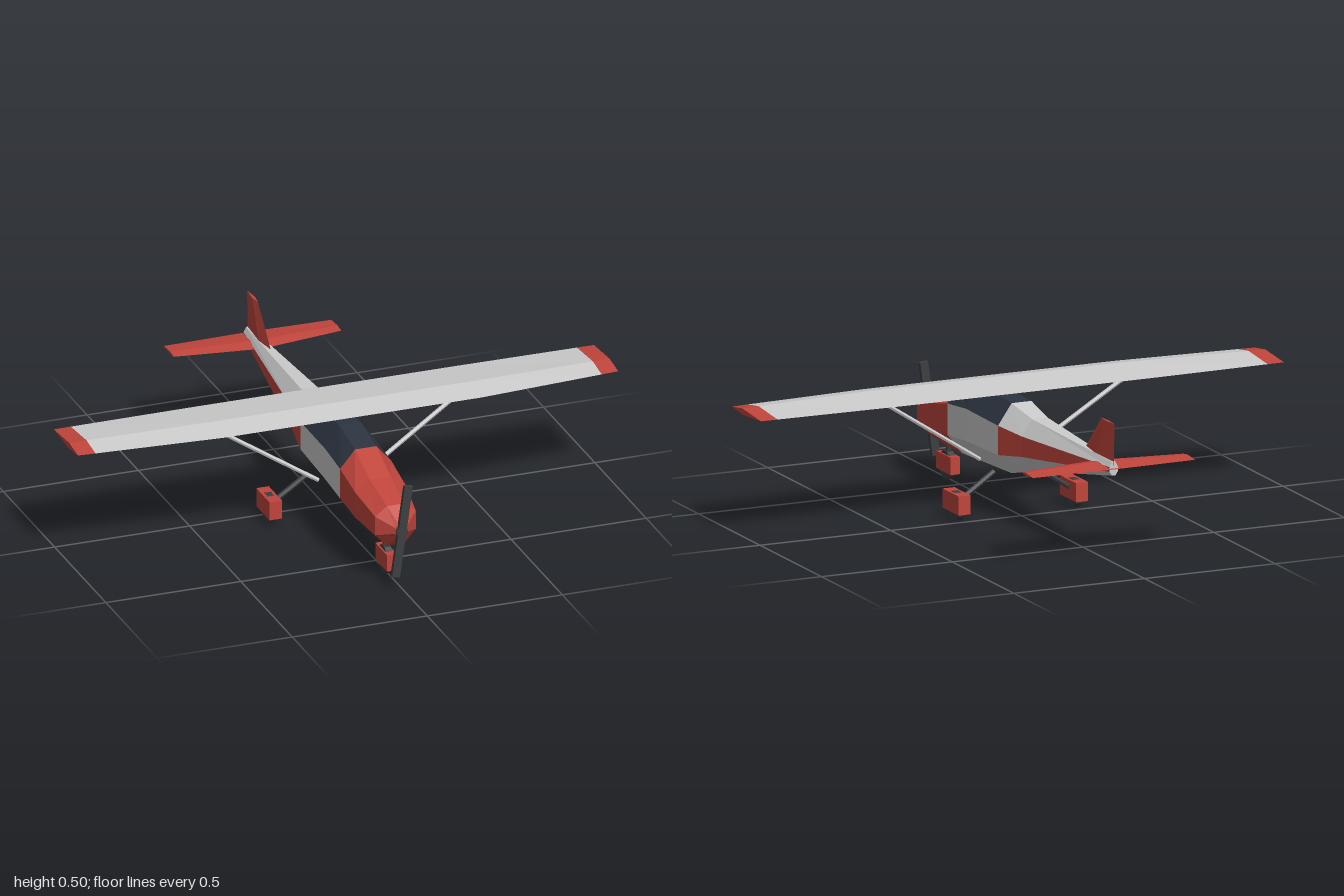
import * as THREE from 'three';

const paint = (color) => new THREE.MeshStandardMaterial({ color, flatShading: true });
const grey = paint(0xcccccc), red = paint(0xc0453c), glass = paint(0x2c3440), dark = paint(0x3c3e40);
const V = (x, y, z) => new THREE.Vector3(x, y, z);

// Skin closed rings, wound counter-clockwise seen from the far end; optional list of panels
function loft(name, rings, material, panels = null, capStart = true, capEnd = true) {
  const pos = [], n = rings[0].length;
  const tri = (...pts) => pts.forEach((p) => pos.push(p.x, p.y, p.z));
  for (let r = 0; r < rings.length - 1; r++) {
    const a = rings[r], b = rings[r + 1];
    for (let i = 0; i < n; i++) {
      if (panels && !panels.includes(i)) continue;
      const j = (i + 1) % n;
      tri(a[i], a[j], b[j]);
      tri(a[i], b[j], b[i]);
    }
  }
  const first = rings[0], last = rings[rings.length - 1];
  for (let i = 1; i < n - 1; i++) {
    if (capStart) tri(first[0], first[i + 1], first[i]);
    if (capEnd) tri(last[0], last[i], last[i + 1]);
  }
  const geo = new THREE.BufferGeometry();
  geo.setAttribute('position', new THREE.Float32BufferAttribute(pos, 3));
  geo.computeVertexNormals();
  const mesh = new THREE.Mesh(geo, material);
  mesh.name = name;
  return mesh;
}

function box(name, w, h, d, at, material) {
  const mesh = new THREE.Mesh(new THREE.BoxGeometry(w, h, d), material);
  mesh.position.copy(at);
  mesh.name = name;
  return mesh;
}

function rod(name, a, b, radius, material) {
  const dir = b.clone().sub(a);
  const mesh = new THREE.Mesh(new THREE.CylinderGeometry(radius, radius, dir.length(), 6), material);
  mesh.position.copy(a).add(b).multiplyScalar(0.5);
  mesh.quaternion.setFromUnitVectors(V(0, 1, 0), dir.normalize());
  mesh.name = name;
  return mesh;
}

// Diamond aerofoil section across x
const foil = (x, front, back, y, top, bottom) => {
  const crest = front - (front - back) * 0.36;
  return [V(x, top, crest), V(x, y, front), V(x, bottom, crest), V(x, y, back)];
};

// Wheel, fairing and leg
function landingGear(name, x, z, fairing, legTop, legBottom) {
  const gear = new THREE.Group();
  gear.name = name;
  const wheel = new THREE.Mesh(new THREE.CylinderGeometry(0.052, 0.052, 0.024, 10), dark);
  wheel.rotation.z = Math.PI / 2;
  wheel.position.set(x, 0.054, z);
  wheel.name = 'wheel';
  const [w, h, d, y] = fairing;
  gear.add(wheel, box('wheelFairing', w, h, d, V(x, y, z), red), rod('gearLeg', legTop, legBottom, 0.01, dark));
  return gear;
}

export function createModel() {
  const model = new THREE.Group();
  model.name = 'lightAircraft';

  // Fuselage stations: z, half width, bottom, lower edge, upper edge, top
  const stations = [
    [-0.75, 0.016, 0.316, 0.33, 0.347, 0.365],
    [-0.15, 0.07, 0.2, 0.255, 0.328, 0.385],
    [0, 0.09, 0.16, 0.23, 0.335, 0.41],
    [0.25, 0.095, 0.15, 0.225, 0.34, 0.416],
    [0.4, 0.095, 0.142, 0.213, 0.325, 0.39],
    [0.54, 0.093, 0.141, 0.2, 0.295, 0.335],
    [0.69, 0.075, 0.146, 0.192, 0.262, 0.296],
    [0.745, 0.022, 0.2, 0.212, 0.234, 0.246],
  ].map(([z, w, bottom, low, up, top]) => {
    const t = w * 0.42;
    return [V(w, low, z), V(w, up, z), V(t, top, z), V(-t, top, z),
      V(-w, up, z), V(-w, low, z), V(-t, bottom, z), V(t, bottom, z)];
  });
  const tail = stations.slice(0, 3), cabin = stations.slice(2, 5), nose = stations.slice(4);
  model.add(
    loft('tailBoom', tail, grey, [1, 2, 3, 5, 6, 7], true, false),
    loft('tailStripe', tail, red, [0, 4], false, false),
    loft('cabinWindows', cabin, glass, [1, 2, 3], false, false),
    loft('cabinBody', cabin, grey, [0, 4, 5, 6, 7], false, false),
    loft('engineCowling', nose, red, null, false, true),
  );

  // Propeller
  const propeller = new THREE.Group();
  propeller.name = 'propeller';
  const hub = new THREE.Mesh(new THREE.CylinderGeometry(0.022, 0.022, 0.014, 8), dark);
  hub.rotation.x = Math.PI / 2;
  hub.name = 'propellerHub';
  propeller.add(box('propellerBlades', 0.03, 0.34, 0.016, V(0, 0, 0), dark), hub);
  propeller.position.set(0, 0.22, 0.75);
  propeller.rotation.z = -0.14;
  model.add(propeller);

  // Wing with coloured tips
  const section = {
    tip: (s) => foil(s, 0.228, -0.008, 0.448, 0.46, 0.438),
    cap: (s) => foil(s * 0.937, 0.233, -0.009, 0.448, 0.461, 0.437),
    mid: (s) => foil(s * 0.48, 0.265, -0.015, 0.447, 0.466, 0.431),
  };
  model.add(
    loft('wing', [section.cap(-1), section.mid(-1), section.mid(1), section.cap(1)], grey, null, false, false),
    loft('rightWingTip', [section.tip(-1), section.cap(-1)], red, null, true, false),
    loft('leftWingTip', [section.cap(1), section.tip(1)], red, null, false, true),
  );

  // Tailplane and fin
  const stabTip = (x) => foil(x, -0.655, -0.753, 0.34, 0.345, 0.335);
  model.add(loft('tailplane', [stabTip(-0.31), foil(0, -0.61, -0.76, 0.34, 0.35, 0.33), stabTip(0.31)], red));
  const finSection = (y, front, back, t) => {
    const crest = front - (front - back) * 0.4;
    return [V(0, y, front), V(t, y, crest), V(0, y, back), V(-t, y, crest)];
  };
  model.add(loft('fin', [finSection(0.35, -0.505, -0.75, 0.011), finSection(0.5, -0.65, -0.757, 0.006)], red));

  // Struts and main gear, one per side
  for (const [side, s] of [['left', 1], ['right', -1]]) {
    model.add(
      rod(side + 'WingStrut', V(s * 0.085, 0.18, 0.16), V(s * 0.49, 0.442, 0.13), 0.008, grey),
      landingGear(side + 'MainGear', s * 0.225, 0.051, [0.046, 0.068, 0.13, 0.068],
        V(s * 0.08, 0.16, 0.053), V(s * 0.225, 0.062, 0.051)),
    );
  }
  model.add(landingGear('noseGear', 0, 0.598, [0.036, 0.062, 0.115, 0.061], V(0, 0.15, 0.588), V(0, 0.06, 0.597)));
  return model;
}
